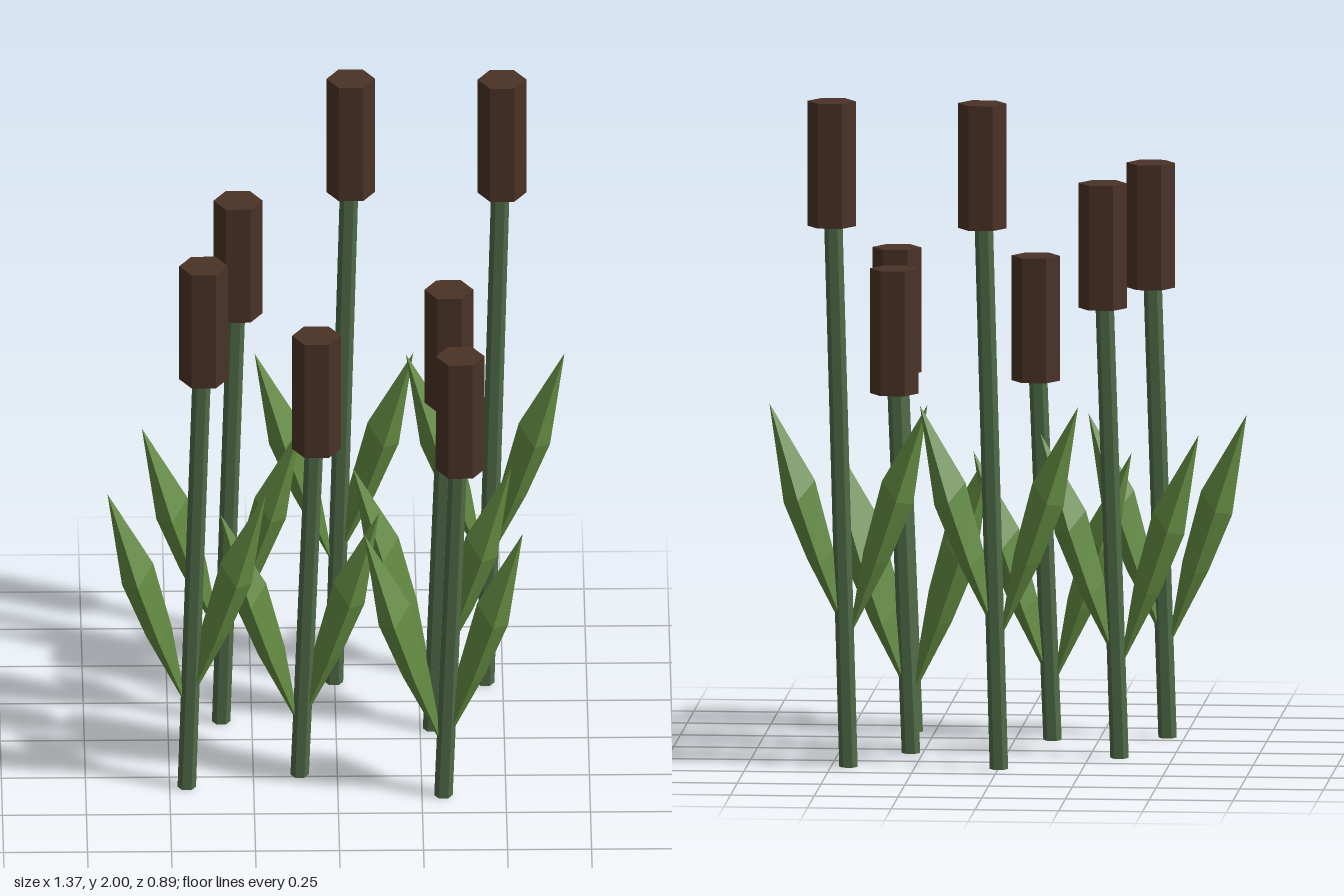
import * as THREE from 'three';

const material = (color) => new THREE.MeshStandardMaterial({ color, flatShading: true });
const LEAN = 0.05, HEAD_HEIGHT = 0.375;

// Six-sided prism with corners on the x axis, standing on y = 0
function prism(radius, height) {
  return new THREE.CylinderGeometry(radius, radius, height, 6)
    .rotateY(Math.PI / 6).translate(0, height / 2, 0);
}

// Stem: prism sheared sideways so that it leans towards +x
function stemGeometry(height) {
  const shear = new THREE.Matrix4().set(1, LEAN / height, 0, 0, 0, 1, 0, 0, 0, 0, 1, 0, 0, 0, 0, 1);
  const geometry = prism(0.0275, height).applyMatrix4(shear);
  geometry.computeVertexNormals();
  return geometry;
}

// Leaf: diamond cross-sections, pointed at both ends, growing up and out to +x
function leafGeometry() {
  // outer [x, y], inner [x, y], half width in z
  const sections = [
    [0, 0, 0, 0, 0],
    [0.122, 0.235, 0.045, 0.265, 0.045],
    [0.193, 0.405, 0.1, 0.475, 0.061],
    [0.236, 0.705, 0.236, 0.705, 0],
  ];
  const rings = sections.map(([ox, oy, ix, iy, w]) => {
    const mx = (ox + ix) / 2, my = (oy + iy) / 2 - (w ? 0.02 : 0);
    return [[ox, oy, 0], [mx, my, w], [ix, iy, 0], [mx, my, -w]];
  });
  const positions = [];
  for (let i = 0; i < rings.length - 1; i++) {
    for (let k = 0; k < 4; k++) {
      const n = (k + 1) % 4;
      const a = rings[i][k], b = rings[i][n], c = rings[i + 1][k], d = rings[i + 1][n];
      if (i > 0) positions.push(...a, ...c, ...b);
      if (i < rings.length - 2) positions.push(...b, ...c, ...d);
    }
  }
  const geometry = new THREE.BufferGeometry();
  geometry.setAttribute('position', new THREE.Float32BufferAttribute(positions, 3));
  geometry.computeVertexNormals();
  return geometry;
}

export function createModel() {
  const model = new THREE.Group();
  model.name = 'reeds';
  const stemMaterial = material(0x4f6b47);
  const headMaterial = material(0x4a3226);
  const leafMaterial = material(0x648c42);
  const headGeometry = prism(0.0725, HEAD_HEIGHT);
  const leaf = leafGeometry();

  const add = (parent, name, geometry, mat, x, y) => {
    const mesh = new THREE.Mesh(geometry, mat);
    mesh.name = name;
    mesh.position.set(x, y, 0);
    parent.add(mesh);
    return mesh;
  };

  // Heights: [underside of head, foot of leaves]
  const tall = [1.625, 0.385], medium = [1.352, 0.267], small = [1.08, 0.16];
  // Plants: foot x, foot z, size
  const plants = [
    [-0.002, -0.386, tall],
    [0.448, -0.376, tall],
    [-0.341, -0.126, medium],
    [-0.449, 0.314, medium],
    [0.286, -0.07, small],
    [-0.112, 0.235, small],
    [0.314, 0.38, small],
  ];
  for (const [x, z, [headY, leafY]] of plants) {
    const plant = new THREE.Group();
    plant.name = 'reed';
    plant.position.set(x, 0, z);
    add(plant, 'stem', stemGeometry(headY + HEAD_HEIGHT / 2), stemMaterial, 0, 0);
    add(plant, 'seedHead', headGeometry, headMaterial, LEAN, headY);
    add(plant, 'leftLeaf', leaf, leafMaterial, 0, leafY);
    add(plant, 'rightLeaf', leaf, leafMaterial, 0, leafY).rotation.y = Math.PI;
    model.add(plant);
  }
  return model;
}
